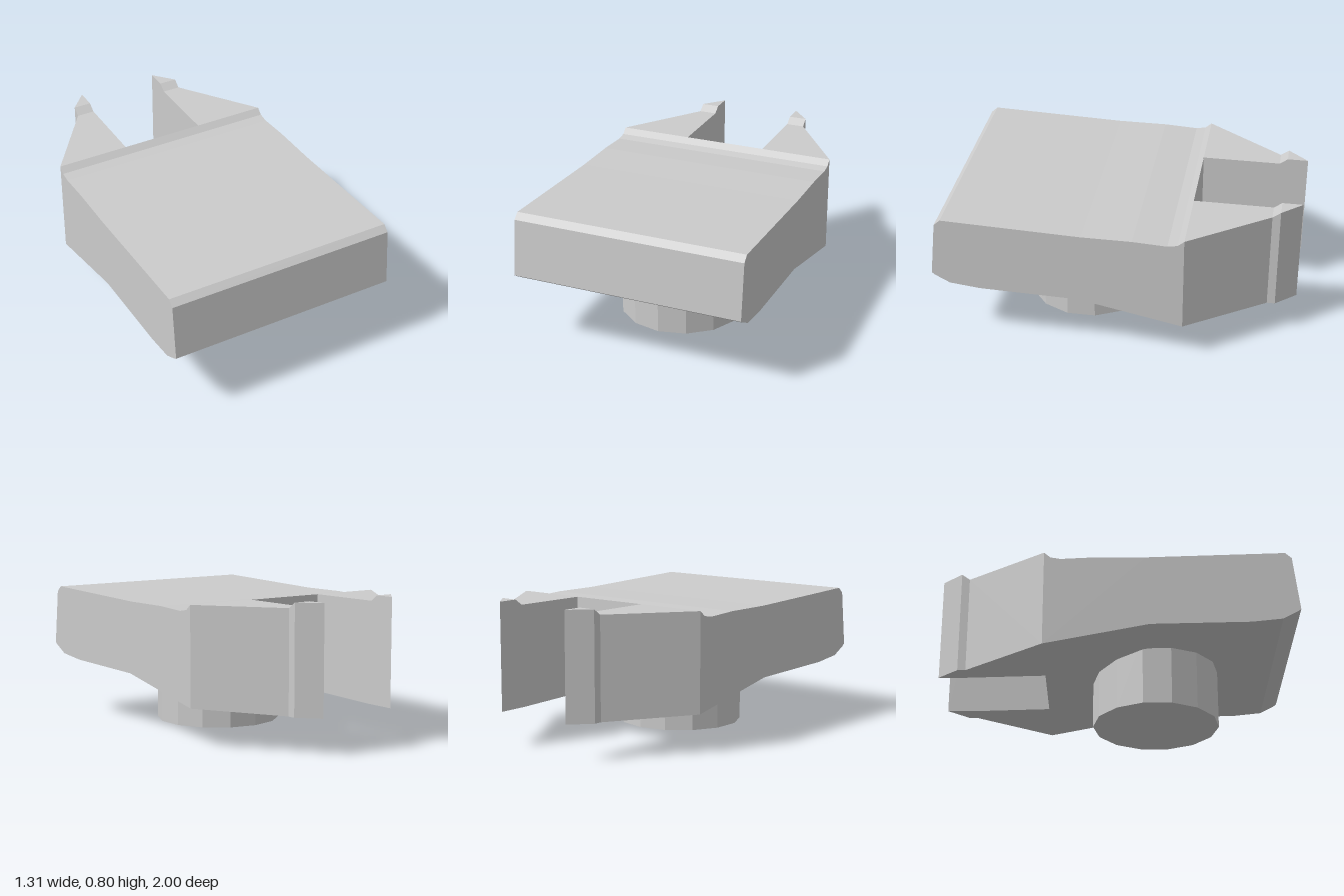
import * as THREE from 'three';

const material = new THREE.MeshStandardMaterial({ color: 0xcccccc, flatShading: true });
const WIDTH = 1.31;

function addMesh(group, name, geometry) {
  const mesh = new THREE.Mesh(geometry, material);
  mesh.name = name;
  group.add(mesh);
}

// Side profile (z, y) extruded across the width
function bodyGeometry() {
  const profile = [
    [1, 0.42], [0.965, 0.735], [0.93, 0.767], [0.16, 0.74], [-0.12, 0.74], [-0.31, 0.73],
    [-0.365, 0.74], [-0.4, 0.77], [-0.4, 0.213], [0.18, 0.33], [0.73, 0.343], [0.9, 0.362], [0.98, 0.405],
  ].map(([z, y]) => new THREE.Vector2(z, y));
  const geometry = new THREE.ExtrudeGeometry(new THREE.Shape(profile), { depth: WIDTH, bevelEnabled: false });
  return geometry.rotateY(-Math.PI / 2).translate(WIDTH / 2, 0, 0);
}

// Tapering prong lofted through rectangular sections; side is +1 or -1
function prongGeometry(side) {
  const inner = 0.24;
  // z, outer x, bottom y, top y
  const sections = [
    [-0.4, WIDTH / 2, 0.213, 0.77],
    [-0.84, 0.342, 0.2, 0.77],
    [-0.885, 0.342, 0.2, 0.803],
    [-1, inner, 0.2, 0.803],
  ];
  const positions = [];
  for (const [z, outer, bottom, top] of sections) {
    for (const [x, y] of [[inner, bottom], [outer, bottom], [outer, top], [inner, top]]) {
      positions.push(x * side, y, z);
    }
  }
  const index = [];
  const quad = (a, b, c, d) => (side > 0 ? index.push(a, b, c, a, c, d) : index.push(a, c, b, a, d, c));
  for (let s = 0; s < sections.length - 1; s++) {
    for (let k = 0; k < 4; k++) {
      const a = s * 4 + k;
      const b = s * 4 + ((k + 1) % 4);
      quad(a, a + 4, b + 4, b);
    }
  }
  quad(0, 1, 2, 3);
  const geometry = new THREE.BufferGeometry();
  geometry.setAttribute('position', new THREE.Float32BufferAttribute(positions, 3));
  geometry.setIndex(index);
  const flat = geometry.toNonIndexed();
  flat.computeVertexNormals();
  return flat;
}

export function createModel() {
  const group = new THREE.Group();
  group.name = 'model';

  addMesh(group, 'body', bodyGeometry());
  addMesh(group, 'leftProng', prongGeometry(1));
  addMesh(group, 'rightProng', prongGeometry(-1));

  // Fourteen-sided mounting post, sunk into the sloping underside
  addMesh(group, 'post', new THREE.CylinderGeometry(0.36, 0.36, 0.4, 14).translate(0, 0.2, 0.225));

  return group;
}
